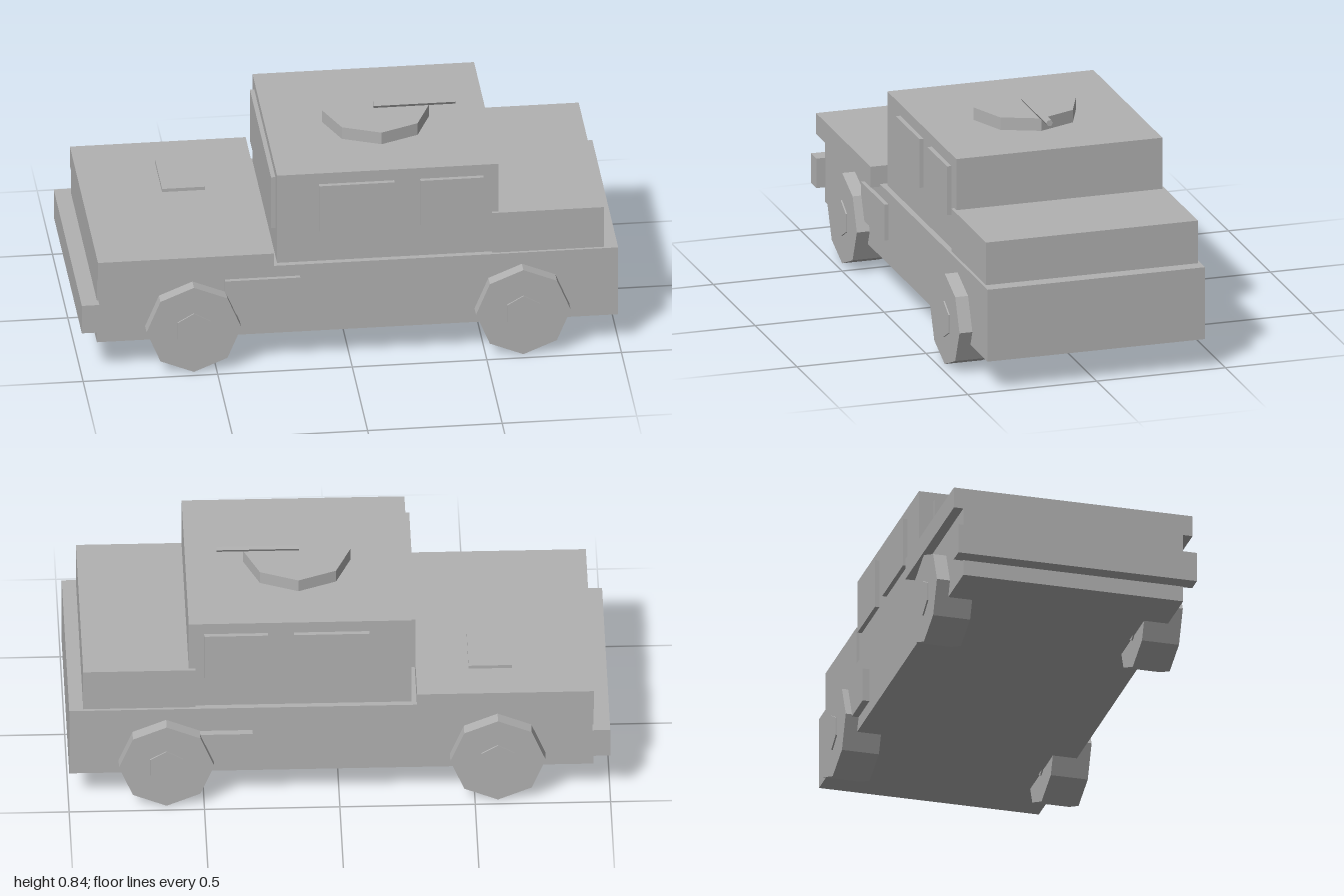
import * as THREE from 'three';

export function createModel() {
  const group = new THREE.Group();
  const grey = new THREE.MeshStandardMaterial({ color: 0xb2b2b2, flatShading: true });
  grey.name = 'plain grey';

  const add = (name, geometry, x, y, z) => {
    const mesh = new THREE.Mesh(geometry, grey);
    mesh.name = name;
    mesh.position.set(x, y, z);
    group.add(mesh);
    return mesh;
  };

  // Box given by its extents along each axis
  const box = (name, [x0, x1], [y0, y1], [z0, z1]) =>
    add(name, new THREE.BoxGeometry(x1 - x0, y1 - y0, z1 - z0),
      (x0 + x1) / 2, (y0 + y1) / 2, (z0 + z1) / 2);

  // Main hull; the bonnet end points to -x
  box('body', [-0.94, 0.997], [0.12, 0.4], [-0.422, 0.422]);
  box('bonnet', [-0.94, -0.287], [0.39, 0.471], [-0.458, 0.458]);
  box('cab', [-0.268, 0.555], [0.4, 0.765], [-0.4, 0.4]);
  box('rearDeck', [0.53, 0.945], [0.4, 0.566], [-0.411, 0.411]);
  box('bumper', [-1, -0.935], [0.18, 0.295], [-0.458, 0.458]);

  // Raised plates
  box('windscreen', [-0.284, -0.262], [0.517, 0.73], [-0.345, 0.345]);
  box('bonnetHatch', [-0.642, -0.482], [0.465, 0.484], [-0.298, -0.066]);
  box('leftStowagePanel', [-0.465, -0.186], [0.214, 0.354], [0.42, 0.438]);
  box('rightStowagePanel', [0.32, 0.6], [0.17, 0.3], [-0.448, -0.42]);

  for (const side of [-1, 1]) {
    const z = side > 0 ? [0.39, 0.417] : [-0.417, -0.39];
    box('frontSideWindow', [-0.113, 0.167], [0.53, 0.72], z);
    box('rearSideWindow', [0.263, 0.498], [0.53, 0.72], z);

    // Eight-sided tyres with six-sided hubs
    for (const x of [-0.585, 0.639]) {
      const tyre = new THREE.CylinderGeometry(0.176, 0.176, 0.142, 8).rotateX(Math.PI / 2);
      const hub = new THREE.CylinderGeometry(0.07, 0.07, 0.153, 6).rotateX(Math.PI / 2);
      add('tyre', tyre, x, 0.177, side * 0.401);
      add('hub', hub, x, 0.177, side * 0.401);
    }
  }

  // Roof ring and barrel
  add('roofRing', new THREE.CylinderGeometry(0.199, 0.199, 0.055, 8), 0.143, 0.786, 0);
  add('roofBarrel', new THREE.CylinderGeometry(0.013, 0.013, 0.304, 6).rotateZ(Math.PI / 2),
    0.287, 0.826, 0);

  return group;
}
